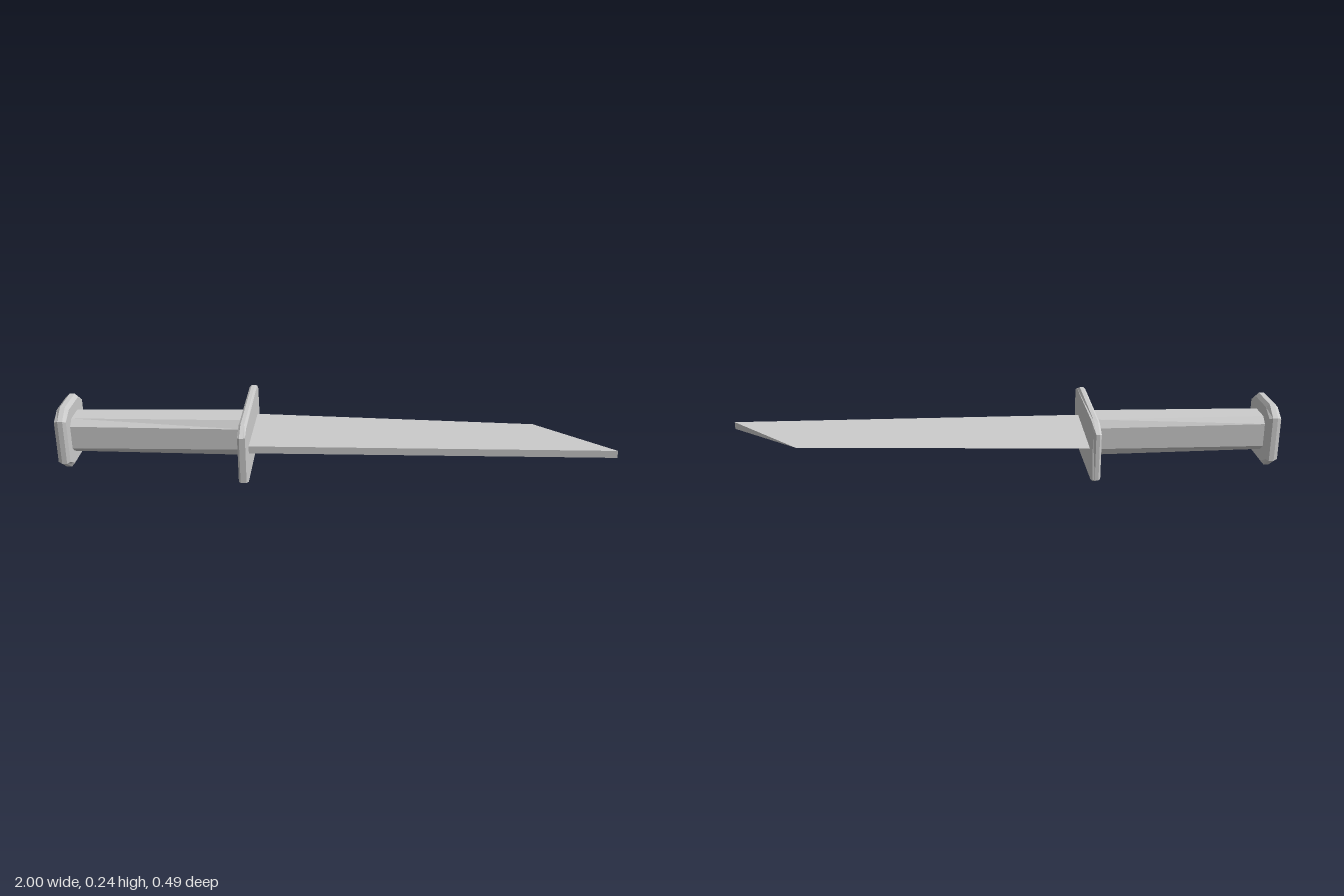
import * as THREE from 'three';

const material = new THREE.MeshStandardMaterial({ color: 0xcccccc, flatShading: true });
const MID = 0.119; // height of the long axis

// Faceted solid through matching rings of [x, y, z], ordered from -x to +x
function loft(name, rings) {
  const pos = [];
  const tri = (...pts) => pts.forEach((p) => pos.push(...p));
  const n = rings[0].length;
  for (let r = 0; r < rings.length - 1; r++) {
    const a = rings[r], b = rings[r + 1];
    for (let i = 0; i < n; i++) {
      const j = (i + 1) % n;
      tri(a[i], a[j], b[j]);
      tri(a[i], b[j], b[i]);
    }
  }
  const first = rings[0], last = rings[rings.length - 1];
  for (let i = 1; i < n - 1; i++) {
    tri(first[0], first[i + 1], first[i]);
    tri(last[0], last[i], last[i + 1]);
  }
  const geometry = new THREE.BufferGeometry();
  geometry.setAttribute('position', new THREE.Float32BufferAttribute(pos, 3));
  geometry.computeVertexNormals();
  const mesh = new THREE.Mesh(geometry, material);
  mesh.name = name;
  return mesh;
}

// Chamfered rectangle across the long axis: half sizes and half lengths of the flats
function octagon(x, hz, hy, cz, cy) {
  return [
    [cz, hy], [hz, cy], [hz, -cy], [cz, -hy],
    [-cz, -hy], [-hz, -cy], [-hz, cy], [-cz, hy],
  ].map(([z, y]) => [x, MID + y, z]);
}

export function createModel() {
  const group = new THREE.Group();
  group.name = 'knife';

  // Wedge blade: thick spine at +z, sharp edge at -z, slanted tip
  group.add(loft('blade', [
    [[-0.31, 0.132, 0.153], [-0.31, 0.105, 0.153], [-0.31, 0.122, -0.166]],
    [[1, 0.132, 0.153], [1, 0.105, 0.153], [0.74, 0.122, -0.096]],
  ]));

  // Guard plate with uneven bevels on the blade side
  const guardFace = [
    [0.2, 0.222], [0.246, 0.205], [0.246, 0.035], [0.185, 0.007],
    [-0.2, 0.018], [-0.244, 0.036], [-0.217, 0.208], [-0.185, 0.231],
  ].map(([z, y]) => [-0.3, y, z]);
  group.add(loft('guard', [
    octagon(-0.328, 0.24, 0.108, 0.182, 0.083),
    octagon(-0.321, 0.246, 0.113, 0.187, 0.085),
    octagon(-0.308, 0.246, 0.113, 0.187, 0.085),
    guardFace,
  ]));

  // Octagonal grip
  group.add(loft('grip', [
    octagon(-0.965, 0.068, 0.065, 0.042, 0.043),
    octagon(-0.32, 0.068, 0.069, 0.05, 0.04),
  ]));

  // Pommel with bevelled rims
  group.add(loft('pommel', [
    octagon(-1, 0.111, 0.107, 0.06, 0.078),
    octagon(-0.986, 0.117, 0.119, 0.066, 0.083),
    octagon(-0.968, 0.117, 0.119, 0.066, 0.083),
    octagon(-0.957, 0.11, 0.106, 0.06, 0.078),
  ]));

  return group;
}
